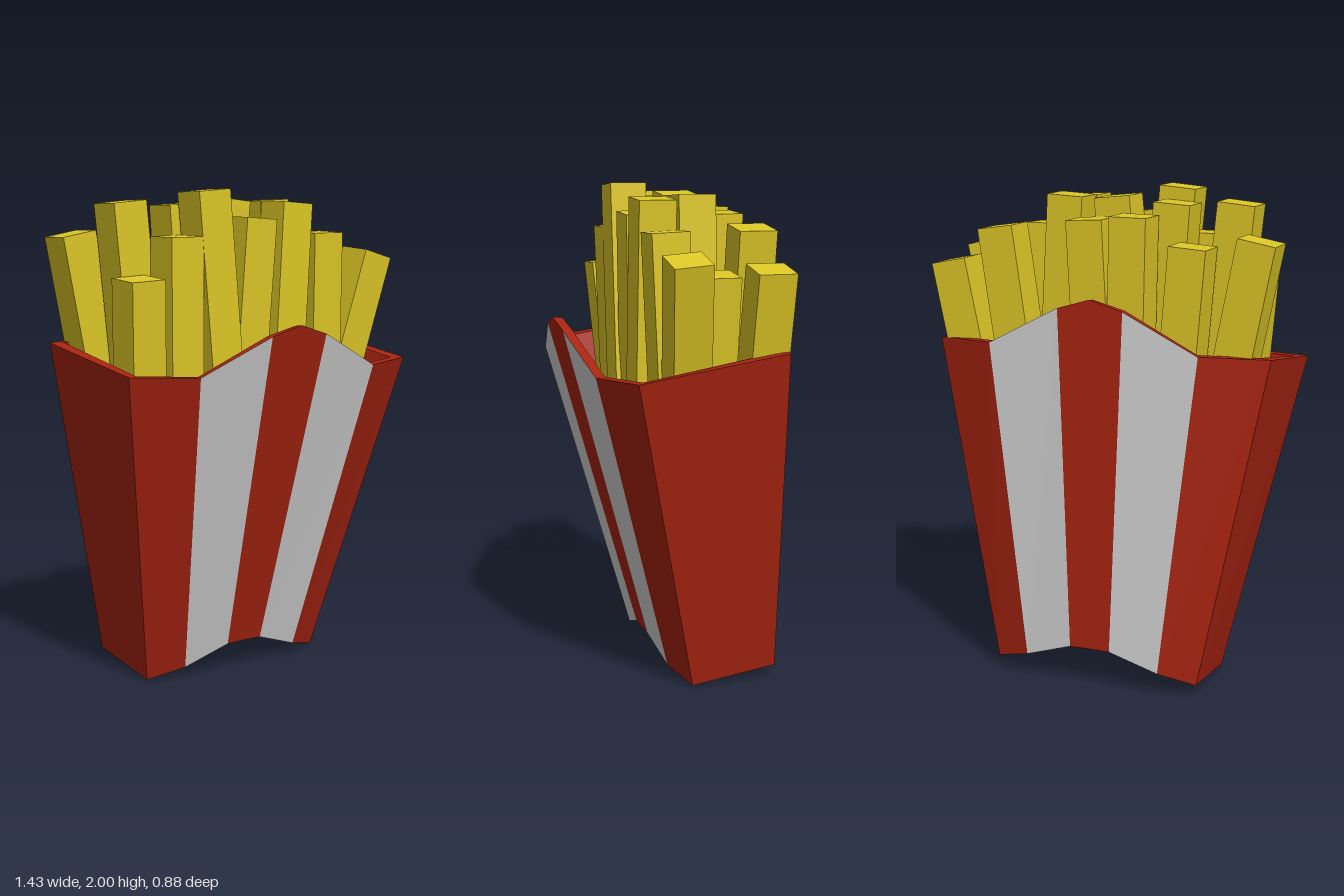
import * as THREE from 'three';

const material = (name, color) => {
  const m = new THREE.MeshStandardMaterial({ color });
  m.name = name;
  return m;
};

// Half profiles run from the outer corner to the middle; mirrored into a full row.
const CENTRE = -0.015;
function row(half) {
  const left = half.map(([x, y, z]) => [CENTRE - x, y, z]);
  const right = half.slice(0, -1).reverse().map(([x, y, z]) => [CENTRE + x, y, z]);
  return [...left, ...right];
}
// Closed ring: front from left to right, then back from right to left (14 points).
const ring = (front, back) => [...row(front), ...row(back).reverse()];

// Flat-shaded mesh from quads
function quadMesh(name, quads, mat) {
  const pos = [];
  for (const [a, b, c, d] of quads) pos.push(...a, ...b, ...c, ...a, ...c, ...d);
  const g = new THREE.BufferGeometry();
  g.setAttribute('position', new THREE.Float32BufferAttribute(pos, 3));
  g.computeVertexNormals();
  const mesh = new THREE.Mesh(g, mat);
  mesh.name = name;
  return mesh;
}

export function createModel() {
  const model = new THREE.Group();
  model.name = 'friesInCarton';
  const red = material('red card', 0xa82411);
  const white = material('pale grey stripe', 0xd2d2d2);
  const yellow = material('potato yellow', 0xdcc626);

  // Carton cross-sections
  const bottom = ring(
    [[0.435, 0, -0.02], [0.285, 0.04, 0.04], [0.085, 0.11, 0.065], [0, 0.112, 0.066]],
    [[0.435, 0.05, -0.375], [0.285, 0.095, -0.42], [0.085, 0.165, -0.437], [0, 0.167, -0.438]]);
  const rim = ring(
    [[0.695, 1.295, 0.28], [0.435, 1.285, 0.375], [0.135, 1.43, 0.43], [0, 1.47, 0.44]],
    [[0.695, 1.385, -0.315], [0.435, 1.395, -0.405], [0.135, 1.55, -0.415], [0, 1.59, -0.417]]);
  const innerRim = ring(
    [[0.645, 1.295, 0.25], [0.42, 1.285, 0.335], [0.13, 1.43, 0.39], [0, 1.465, 0.398]],
    [[0.645, 1.385, -0.285], [0.42, 1.395, -0.365], [0.13, 1.55, -0.377], [0, 1.585, -0.379]]);
  const floor = ring(
    [[0.51, 0.78, 0.09], [0.33, 0.78, 0.165], [0.1, 0.78, 0.205], [0, 0.78, 0.21]],
    [[0.51, 0.78, -0.3], [0.33, 0.78, -0.365], [0.1, 0.78, -0.38], [0, 0.78, -0.38]]);

  const carton = new THREE.Group();
  carton.name = 'carton';
  model.add(carton);
  const outer = [], stripes = [], lip = [], inside = [], base = [], insideFloor = [];
  for (let i = 0; i < 14; i++) {
    const j = (i + 1) % 14;
    const striped = i % 7 === 1 || i % 7 === 4;
    (striped ? stripes : outer).push([bottom[i], bottom[j], rim[j], rim[i]]);
    lip.push([rim[i], rim[j], innerRim[j], innerRim[i]]);
    inside.push([innerRim[i], innerRim[j], floor[j], floor[i]]);
  }
  for (let i = 0; i < 6; i++) {
    base.push([bottom[i], bottom[13 - i], bottom[12 - i], bottom[i + 1]]);
    insideFloor.push([floor[i], floor[i + 1], floor[12 - i], floor[13 - i]]);
  }
  carton.add(
    quadMesh('cartonWalls', outer, red),
    quadMesh('cartonStripes', stripes, white),
    quadMesh('cartonRim', lip, red),
    quadMesh('cartonInside', inside, red),
    quadMesh('cartonBase', base, red),
    quadMesh('cartonFloor', insideFloor, red));

  // Fries by row: top centre x, top y, sideways lean, forward lean
  const rows = [
    ['frontFry', 0.08, [
      [-0.535, 1.65, 0.06, 0.09], [-0.355, 1.812, 0.02, 0.03], [-0.225, 1.992, 0.09, 0],
      [0.01, 1.885, -0.06, 0.03], [0.195, 1.947, -0.06, 0], [0.36, 1.827, 0.02, 0.04],
      [0.64, 1.74, -0.26, 0.08]]],
    ['middleFry', -0.08, [
      [-0.515, 1.947, 0.1, 0], [-0.255, 1.94, 0.07, 0], [-0.005, 1.96, -0.1, 0],
      [0.195, 1.96, 0.06, 0], [0.5, 1.672, -0.12, 0]]],
    ['backFry', -0.25, [
      [-0.645, 1.822, 0.19, 0], [-0.375, 1.79, 0.08, 0], [-0.135, 1.898, 0.02, 0],
      [0.045, 1.882, -0.05, 0], [0.425, 1.842, -0.14, 0], [0.635, 1.7, -0.2, 0]]],
  ];
  const length = 0.95;
  const fryGeometry = new THREE.BoxGeometry(0.15, length, 0.152).translate(0, -length / 2, 0);
  const fries = new THREE.Group();
  fries.name = 'fries';
  model.add(fries);
  for (const [name, z, list] of rows) {
    list.forEach(([x, y, lean, forward], i) => {
      const fry = new THREE.Mesh(fryGeometry, yellow);
      fry.name = name + (i + 1);
      fry.position.set(x, y, z);
      fry.rotation.set(forward, 0, lean);
      fries.add(fry);
    });
  }
  return model;
}
